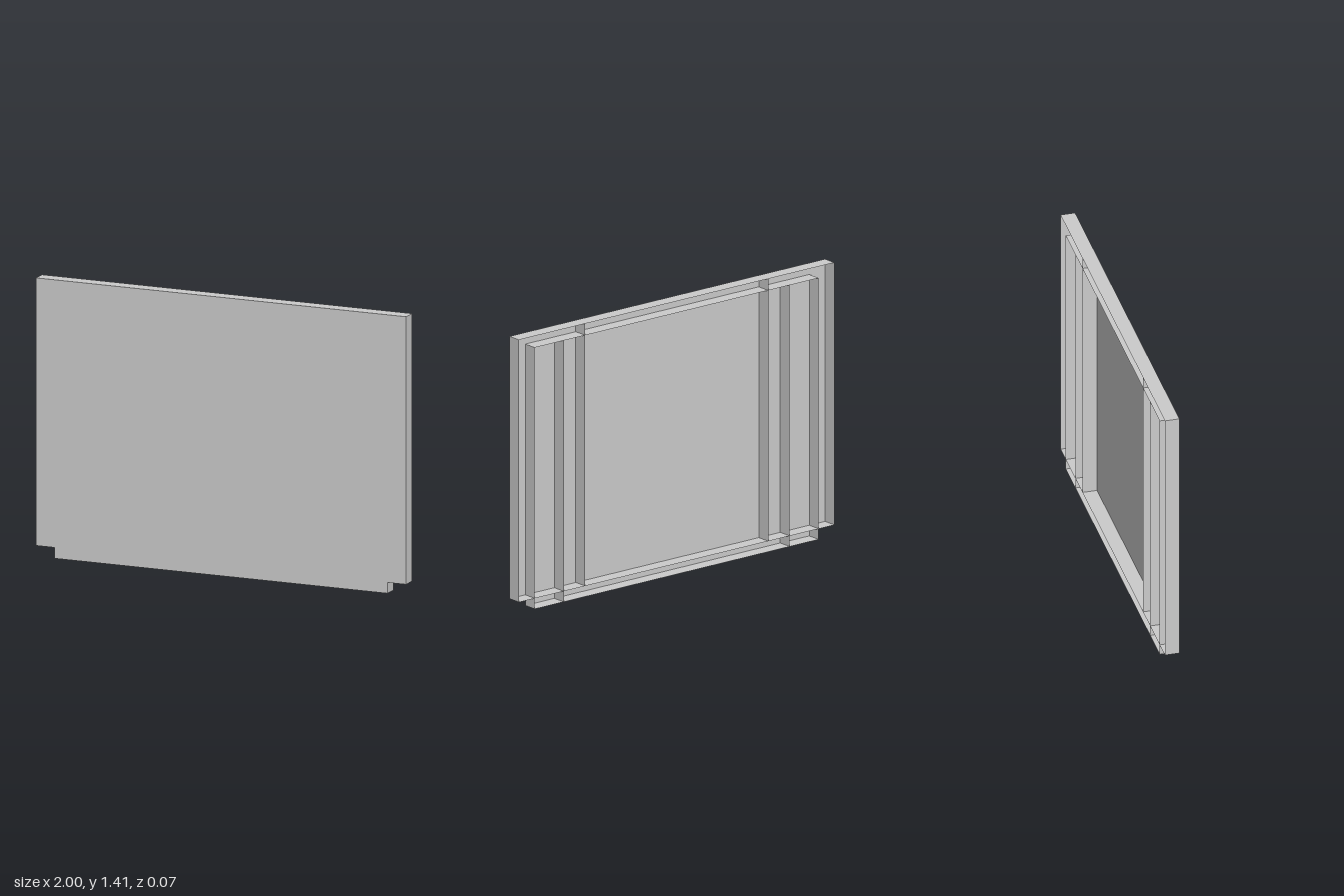
import * as THREE from 'three';

const DEPTH = 0.074, FRONT = DEPTH / 2;
const material = new THREE.MeshStandardMaterial({ color: 0xcccccc, side: THREE.DoubleSide });

// Thin fin reaching from the front sheet to the open back
function fin(name, x1, y1, x2, y2) {
  const geometry = new THREE.PlaneGeometry(Math.hypot(x2 - x1, y2 - y1), DEPTH);
  geometry.rotateX(-Math.PI / 2);
  geometry.rotateZ(Math.atan2(y2 - y1, x2 - x1));
  geometry.translate((x1 + x2) / 2, (y1 + y2) / 2, 0);
  const mesh = new THREE.Mesh(geometry, material);
  mesh.name = name;
  return mesh;
}

// Rectangular rim with a pair of upright ribs
function frame(name, halfWidth, bottom, top, ribX) {
  const group = new THREE.Group();
  group.name = name;
  group.add(fin('topWall', halfWidth, top, -halfWidth, top));
  group.add(fin('bottomWall', -halfWidth, bottom, halfWidth, bottom));
  for (const s of [-1, 1]) {
    const side = s > 0 ? 'left' : 'right';
    const [a, b] = s > 0 ? [bottom, top] : [top, bottom];
    group.add(fin(side + 'Wall', s * halfWidth, a, s * halfWidth, b));
    group.add(fin(side + 'Rib', s * ribX, a, s * ribX, b));
  }
  return group;
}

export function createModel() {
  const model = new THREE.Group();
  model.name = 'panel';

  // Front sheet with notched lower corners
  const outline = new THREE.Shape([
    [-0.9, 0], [0.9, 0], [0.9, 0.055], [1, 0.055],
    [1, 1.41], [-1, 1.41], [-1, 0.055], [-0.9, 0.055],
  ].map(([x, y]) => new THREE.Vector2(x, y)));
  const sheet = new THREE.Mesh(new THREE.ShapeGeometry(outline), material);
  sheet.name = 'frontSheet';
  sheet.position.z = FRONT;
  model.add(sheet);

  // Two overlapping frames behind the sheet
  model.add(frame('outerFrame', 1, 0.055, 1.41, 0.58));
  model.add(frame('innerFrame', 0.9, 0, 1.35, 0.716));
  return model;
}
